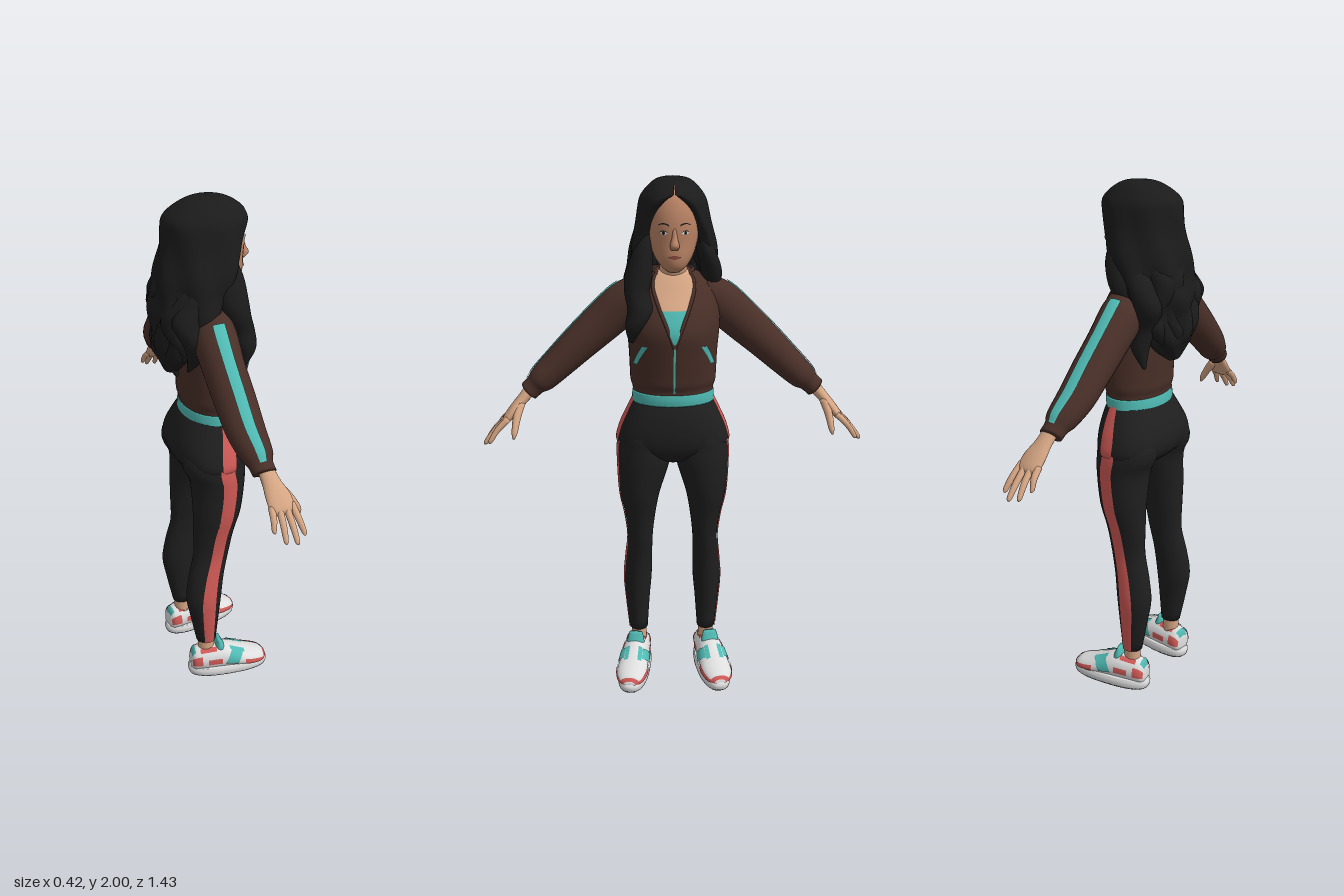
import * as THREE from 'three';

const mat = (name, color) => new THREE.MeshStandardMaterial({ name, color, side: THREE.DoubleSide });
const skin = mat('skin', 0xd6a684), faceMat = mat('face skin', 0xba8365), hairMat = mat('hair', 0x1b1b1c),
  pantsMat = mat('leggings', 0x1f1f20), brown = mat('jacket brown', 0x492f28), teal = mat('teal', 0x4fb9b2),
  coral = mat('coral', 0xd05a56), white = mat('shoe white', 0xdedede), black = mat('sole black', 0x111112),
  lipMat = mat('lips', 0x8a4a3c);
const V = (x, y, z) => new THREE.Vector3(x, y, z);
const X = V(1, 0, 0), Y = V(0, 1, 0), Z = V(0, 0, 1);

// Smooth surface through cross-sections [x, y, z, radiusA, radiusB, squareness]
function surf(keys, B = Z, A = X) {
  const rows = keys.map(k => (k.length < 6 ? [...k, 2] : k));
  const it = new THREE.CubicInterpolant(rows.map((_, i) => i), rows.flat(), 6);
  const first = V(...keys[0]), last = V(...keys[keys.length - 1]);
  const S = (t, a, off = 0, scale = 1) => {
    const [x, y, z, ra, rb, p] = it.evaluate(t);
    const c = Math.cos(a), s = Math.sin(a), e = 2 / p;
    const ca = Math.sign(c) * Math.abs(c) ** e * (Math.max(ra, 0.001) + off) * scale;
    const sb = Math.sign(s) * Math.abs(s) ** e * (Math.max(rb, 0.001) + off) * scale;
    return V(x, y, z).addScaledVector(A, ca).addScaledVector(B, sb);
  };
  S.n = keys.length - 1;
  S.flip = B.clone().cross(last.sub(first)).dot(A) < 0;
  return S;
}

// Grid mesh from a function of column and row
function grid(fn, cols, rows, wrap, flip) {
  const pos = [], idx = [], n = wrap ? cols : cols + 1;
  for (let j = 0; j <= rows; j++) for (let i = 0; i < n; i++) pos.push(...fn(i, j).toArray());
  for (let j = 0; j < rows; j++) for (let i = 0; i < cols; i++) {
    const a = j * n + i, b = j * n + (i + 1) % n, c = a + n, d = b + n;
    idx.push(...(flip ? [a, d, b, a, c, d] : [a, b, d, a, d, c]));
  }
  const g = new THREE.BufferGeometry();
  g.setAttribute('position', new THREE.Float32BufferAttribute(pos, 3));
  g.setIndex(idx);
  g.computeVertexNormals();
  return g;
}

function add(parent, name, geo, material) {
  const m = new THREE.Mesh(geo, material);
  m.name = name;
  parent.add(m);
  return m;
}

// Closed tube with end caps over a surface
function tube(parent, name, S, material, cols = 28, per = 4) {
  const rows = S.n * per;
  return add(parent, name, grid((i, j) => S(Math.min(Math.max(j - 1, 0), rows) / per, i / cols * Math.PI * 2, 0,
    j === 0 || j === rows + 2 ? 0 : 1), cols, rows + 2, true, S.flip), material);
}

// Painted plate lying on a surface; fn maps (u, v) to [t, angle]
const patch = (parent, name, S, fn, material, off = 0.004, nu = 8, nv = 24) =>
  add(parent, name, grid((i, j) => S(...fn(i / nu, j / nv), off), nu, nv, false, S.flip), material);
const strip = (t0, t1, mid, half) => (u, v) => [t0 + (t1 - t0) * v, mid + (u * 2 - 1) * half];

function buildHead(g) {
  const H = surf([[.09, 1.675, 0, .022, .022], [.085, 1.695, 0, .05, .045], [.06, 1.73, 0, .085, .07], [.045, 1.78, 0, .1, .086],
    [.04, 1.84, 0, .108, .094], [.04, 1.9, 0, .1, .09], [.04, 1.95, 0, .075, .07], [.04, 1.975, 0, .02, .02]]);
  tube(g, 'head', H, faceMat, 32);
  tube(g, 'neck', surf([[0, 1.58, 0, .06, .065], [.01, 1.64, 0, .05, .052], [.03, 1.7, 0, .05, .05], [.04, 1.76, 0, .05, .05]]), skin);
  tube(g, 'nose', surf([[.14, 1.835, 0, .008, .008], [.144, 1.805, 0, .014, .01], [.152, 1.778, 0, .02, .017], [.146, 1.762, 0, .01, .014]]), faceMat, 14);
  patch(g, 'lips', H, (u, v) => [2.12 + (v - .5) * .32 * Math.sin(Math.PI * u), (u - .5) * .6], lipMat, .004, 12, 4);
  for (const s of [1, -1]) {
    patch(g, 'eye', H, (u, v) => [3.67 + (v - .5) * .2 * Math.sin(Math.PI * u) ** .7, s * (.26 + .3 * u)], white, .002, 12, 4);
    patch(g, 'iris', H, (u, v) => [3.67 + (v - .5) * .19 * Math.sin(Math.PI * u) ** .6, s * (.35 + .12 * u)], hairMat, .004, 8, 4);
    patch(g, 'eyelid line', H, (u, v) => [3.68 + (.08 + v * .06) * Math.sin(Math.PI * u) ** .7, s * (.25 + .32 * u)], hairMat, .004, 12, 2);
    patch(g, 'eyebrow', H, (u, v) => [4.1 + .1 * Math.sin(Math.PI * u) + (v - .5) * .1 * (1 - u * .6), s * (.2 + .42 * u)], hairMat, .003, 10, 2);
    const ear = add(g, 'ear', new THREE.SphereGeometry(.025, 12, 10), faceMat);
    ear.scale.set(.7, 1.2, .5);
    ear.position.set(.03, 1.8, s * .093);
  }
}

function buildHair(g) {
  const C = surf([[.01, 2, 0, .001, .001], [.01, 1.988, 0, .075, .06], [.005, 1.95, 0, .137, .102], [.005, 1.9, 0, .157, .125],
    [0, 1.8, 0, .162, .145], [-.02, 1.7, 0, .16, .162], [-.04, 1.62, 0, .152, .172], [-.06, 1.55, 0, .13, .15],
    [-.09, 1.47, 0, .1, .12], [-.11, 1.41, 0, .06, .08], [-.13, 1.37, 0, .02, .03]]);
  // Shell that opens around the face, with its front edges tucked in
  const open = [0, 0, .02, .5, .92, 1.08, 1.2, 1.4, 1.5, 1.5, 1.5], cols = 56, per = 6, rows = C.n * per;
  add(g, 'hair', grid((i, j) => {
    const t = j / per, k = Math.min(Math.floor(t), C.n - 1), low = Math.min(1, t / 5);
    const o = THREE.MathUtils.lerp(open[k], open[k + 1], t - k);
    const a = o + i / cols * (Math.PI * 2 - 2 * o), edge = Math.min(i, cols - i);
    const wave = 1 + .045 * Math.sin(a * 7 + t * 1.5) * low ** 2 + .025 * Math.sin(t * 3.2) * low;
    const tuck = t > 2.2 ? [.76, .94, 1][Math.min(edge, 2)] : 1;
    return C(t, a, 0, wave * tuck);
  }, cols, rows, false, C.flip), hairMat);
  // Wavy locks down the back
  for (let i = 0; i < 7; i++) {
    const z0 = (i - 3) * .046, end = 1.365 + .05 * ((i * 3) % 4) / 2, keys = [];
    for (let j = 0; j < 7; j++) keys.push([-.1 - .045 * Math.min(1, j / 3) + z0 * z0 * 2.5 + .018 * Math.sin(j * 1.7 + i), 1.8 - (1.8 - end) * j / 6,
      z0 * Math.min(1, .6 + j * .15) + .014 * Math.cos(j * 1.6 + i * 2), [.006, .034, .05, .052, .047, .036, .006][j], [.006, .034, .045, .047, .042, .032, .006][j]]);
    tube(g, 'back lock', surf(keys), hairMat, 14);
  }
  // Long lock over the chest and short one behind the other shoulder
  tube(g, 'chest lock', surf([[.05, 1.85, .085, .006, .006], [.055, 1.75, .108, .046, .034], [.06, 1.66, .125, .056, .05], [.075, 1.6, .132, .05, .046],
    [.095, 1.54, .118, .05, .05], [.108, 1.48, .14, .036, .036], [.1, 1.42, .155, .006, .008]]), hairMat, 18);
  tube(g, 'shoulder lock', surf([[.04, 1.85, -.09, .006, .006], [.03, 1.75, -.115, .046, .032], [0, 1.67, -.138, .055, .04],
    [-.03, 1.6, -.138, .05, .04], [-.06, 1.52, -.145, .035, .03], [-.08, 1.47, -.15, .006, .006]]), hairMat, 18);
}

function buildJacket(g) {
  const T = surf([[.02, 1.21, 0, .106, .15], [.02, 1.235, 0, .108, .152], [.022, 1.26, 0, .116, .159], [.025, 1.3, 0, .12, .161],
    [.03, 1.38, 0, .13, .164], [.035, 1.46, 0, .135, .17], [.02, 1.53, 0, .124, .172], [0, 1.59, 0, .104, .165],
    [-.005, 1.635, 0, .08, .13], [-.005, 1.66, 0, .062, .088], [-.005, 1.67, 0, .048, .065]]);
  tube(g, 'jacket body', T, brown, 40);
  const neckline = t => .165 * (t - 4.4);
  patch(g, 'top', T, (u, v) => [4.4 + 1.8 * v, (u * 2 - 1) * neckline(4.4 + 1.8 * v)], teal);
  patch(g, 'chest', T, (u, v) => [6.2 + 3.8 * v, (u * 2 - 1) * neckline(6.2 + 3.8 * v)], skin);
  patch(g, 'zip', T, strip(.9, 4.4, 0, .022), teal);
  // Collar runs up one edge, round the neck and down the other
  const edge = s => [4.4, 5.4, 6.4, 7.4, 8.3, 9.2].map(t => T(t, s * neckline(t), .001));
  const back = [1.2, 2, 2.7, 3.6, 4.3, 5.1].map(a => T(9.6, a, .004));
  const curve = new THREE.CatmullRomCurve3([...edge(1), ...back, ...edge(-1).reverse()]);
  add(g, 'collar', new THREE.TubeGeometry(curve, 80, .007, 8), brown);
  for (const s of [1, -1]) patch(g, 'pocket', T, (u, v) => [3.5 + .9 * v, s * (1.04 - .36 * v + (u - .5) * .17)], teal);
}

function buildArm(g, s) {
  const N = V(0, .73, .68 * s);
  const side = ks => ks.map(([x, y, z, ...r]) => [x, y, z * s, ...r]);
  const arm = surf(side([[-.01, 1.6, .1, .06, .06], [-.022, 1.55, .165, .078, .078], [-.024, 1.475, .25, .074, .076], [-.02, 1.39, .345, .073, .068],
    [-.015, 1.315, .425, .069, .06], [-.003, 1.258, .488, .058, .052], [0, 1.235, .515, .044, .04], [.005, 1.212, .54, .042, .038]]), N);
  tube(g, 'sleeve', arm, brown);
  patch(g, 'sleeve stripe', arm, strip(.8, 6.1, Math.PI / 2 + .06, .28), teal);
  tube(g, 'palm', surf(side([[.01, 1.225, .53, .028, .024], [.02, 1.185, .565, .034, .021], [.03, 1.15, .595, .045, .02],
    [.035, 1.115, .625, .046, .016], [.037, 1.1, .637, .036, .008]]), N), skin, 20);
  // Fingers from little to index
  [[-.002, -.012, 1.055, .672], [.024, .017, 1.027, .705], [.049, .055, 1.02, .713], [.071, .09, 1.035, .692]].forEach(([x, tip, y, z]) =>
    tube(g, 'finger', surf(side([[x, 1.125, .615, .013, .012], [(x + tip) / 2, (1.125 + y) / 2 + .004, (.615 + z) / 2 + .004, .012, .011],
      [tip, y + .01, z - .008, .009, .009], [tip, y, z, .003, .003]]), N), skin, 10));
  tube(g, 'thumb', surf(side([[.04, 1.17, .572, .02, .018], [.078, 1.125, .585, .016, .015], [.108, 1.08, .592, .012, .011],
    [.118, 1.06, .595, .004, .004]]), V(0, 0, s), V(.82, .57, 0)), skin, 12);
}

function buildHips(g) {
  const P = surf([[.016, 1.195, 0, .1, .148], [.01, 1.14, 0, .122, .174, 2.2], [0, 1.07, 0, .136, .203, 2.4], [0, 1.01, 0, .128, .21, 2.4],
    [.008, .965, 0, .095, .15, 2.2], [.012, .935, 0, .05, .04]]);
  tube(g, 'hips', P, pantsMat, 40);
  for (const s of [1, -1]) patch(g, 'hip stripe', P, (u, v) => [3.2 * v, s * (1.42 + (u * 2 - 1) * .17)], coral);
  tube(g, 'waistband', surf([[.017, 1.178, 0, .108, .155], [.019, 1.2, 0, .109, .154], [.02, 1.222, 0, .107, .152]]), teal, 40);
}

function buildLeg(g, s) {
  const L = surf([[0, 1.12, .085, .06, .055], [-.002, 1.06, .1, .118, .093], [-.002, 1.0, .109, .121, .102], [.012, .93, .112, .106, .1], [.005, .8, .128, .095, .078],
    [-.008, .7, .128, .082, .06], [-.018, .6, .128, .073, .049], [-.04, .5, .134, .073, .052], [-.053, .4, .139, .073, .055],
    [-.05, .3, .14, .06, .047], [-.043, .17, .138, .041, .036]].map(([x, y, z, ...r]) => [x, y, z * s, ...r]), V(0, 0, s));
  tube(g, 'legging', L, pantsMat);
  patch(g, 'leg stripe', L, (u, v) => [1.6 + 8.4 * v, 1.4 + .12 * v + (u * 2 - 1) * (.24 + .22 * v)], coral, .004, 8, 40);
  tube(g, 'ankle', surf([[-.043, .08, .138 * s, .034, .032], [-.043, .2, .138 * s, .034, .03]]), skin, 16);

  // Shoe, turned slightly outwards
  const shoe = new THREE.Group();
  shoe.name = 'shoe';
  shoe.position.set(.045, 0, .158 * s);
  shoe.rotation.y = -.15 * s;
  g.add(shoe);
  tube(shoe, 'outsole', surf([[0, 0, 0, .156, .054, 2.5], [0, .008, 0, .163, .06, 2.5]]), black, 40);
  tube(shoe, 'midsole', surf([[0, .007, 0, .164, .061, 2.5], [0, .028, 0, .168, .063, 2.5], [-.002, .046, 0, .16, .058, 2.5]]), white, 40);
  const U = surf([[-.158, .06, 0, .03, .025], [-.14, .07, 0, .055, .045], [-.085, .073, 0, .06, .052], [-.02, .072, 0, .062, .055],
    [.04, .062, 0, .046, .059], [.09, .053, 0, .035, .06], [.138, .046, 0, .025, .046], [.16, .04, 0, .01, .02]], Z, Y);
  tube(shoe, 'upper', U, white);
  patch(shoe, 'toe cap', U, strip(6.45, 7, 0, 1.75), coral, .004);
  for (const q of [1, -1]) {
    patch(shoe, 'toe guard', U, (u, v) => [4.5 + 2.2 * v, q * (1.2 + .55 * u)], coral, .004);
    patch(shoe, 'side panel', U, (u, v) => [1.9 + .9 * v, q * (1.3 + .4 * u)], coral, .003);
    patch(shoe, 'collar panel', U, (u, v) => [1.4 + 1.1 * v, q * (.4 + .35 * u)], coral, .003);
    patch(shoe, 'side stripe', U, (u, v) => [3 + .85 * v + .5 * (1 - u), q * (.6 + 1.1 * u)], teal, .005);
    patch(shoe, 'lace panel', U, (u, v) => [3.4 + 1.1 * v, q * (.3 + .3 * u)], teal, .003);
    patch(shoe, 'heel panel', U, strip(.2, 1.5, q * 1.35, .35), coral, .003);
  }
  patch(shoe, 'heel tab', U, strip(.2, 1, 0, .6), teal, .003);
  tube(shoe, 'tongue', surf([[-.03, .1, 0, .03, .036], [-.037, .135, 0, .018, .034], [-.04, .165, 0, .007, .026]]), teal, 16);
}

export function createModel() {
  const model = new THREE.Group();
  model.name = 'woman in tracksuit';
  const part = (name, build, ...args) => {
    const g = new THREE.Group();
    g.name = name;
    build(g, ...args);
    model.add(g);
  };
  part('head', buildHead);
  part('hair', buildHair);
  part('jacket', buildJacket);
  part('hips', buildHips);
  for (const [s, side] of [[1, 'right'], [-1, 'left']]) {
    part(side + 'Arm', buildArm, s);
    part(side + 'Leg', buildLeg, s);
  }
  return model;
}
